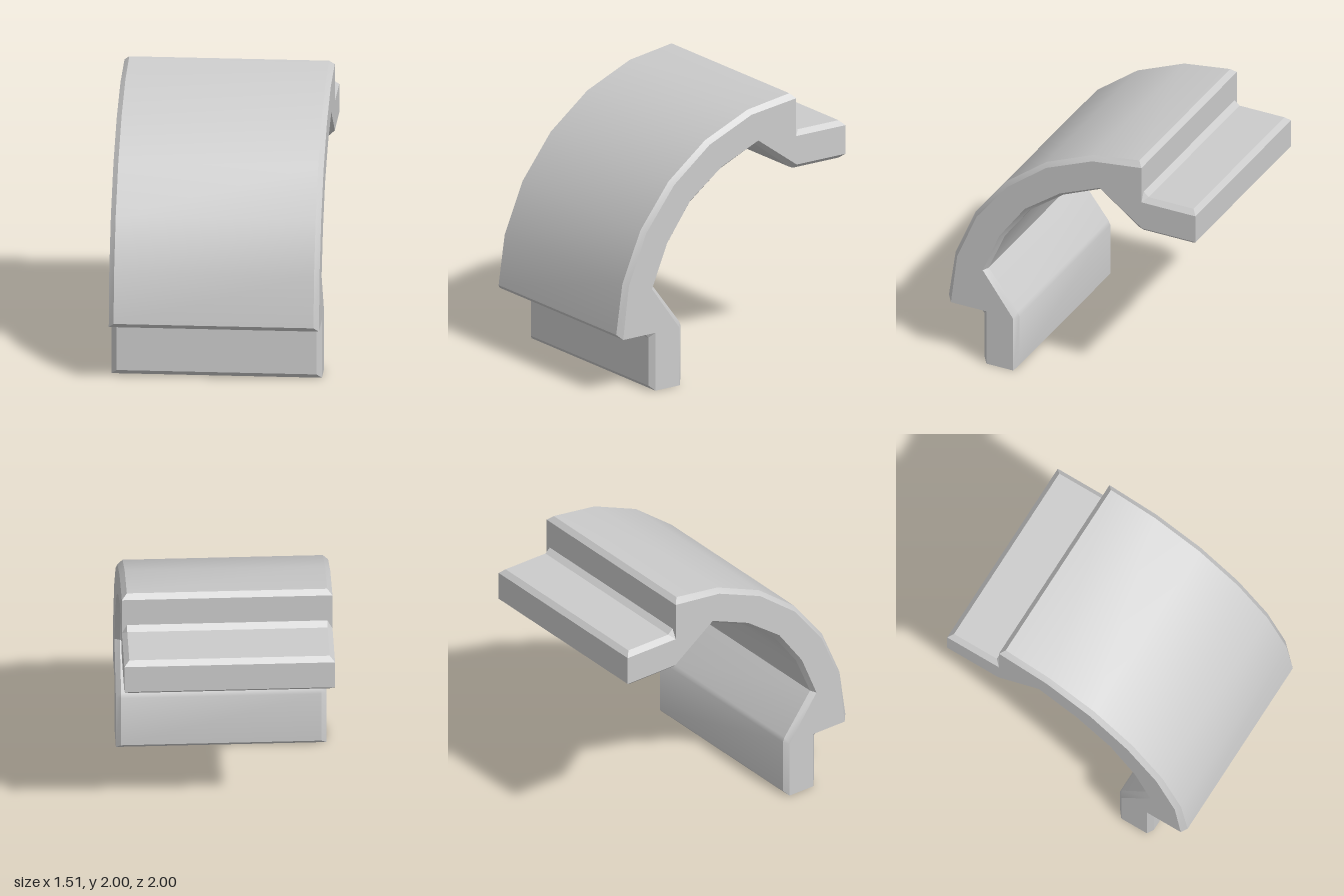
import * as THREE from 'three';
import { toCreasedNormals } from 'three/addons/utils/BufferGeometryUtils.js';

// Half profiles as [z, y] on the end face, then [z, y] just inside the chamfer.
const OUTER = [
  [0.68, 0, 0.68, 0], [0.68, 0, 0.715, 0.035],                    // foot
  [0.68, 0.435, 0.715, 0.395], [0.68, 0.435, 0.75, 0.435],        // step corner
  [0.965, 0.435, 0.965, 0.435], [0.965, 0.435, 1, 0.47],          // rim of the shell
  [0.915, 0.83, 0.946, 0.84], [0.76, 1.2, 0.787, 1.215],          // outer arc
  [0.515, 1.515, 0.538, 1.538],
];
const INNER = [
  [0.465, 0, 0.465, 0], [0.465, 0, 0.433, 0.035],                 // foot
  [0.465, 0.43, 0.433, 0.44], [0.465, 0.43, 0.449, 0.475],        // bend to the slope
  [0.71, 0.77, 0.68, 0.78], [0.577, 1.09, 0.551, 1.08],           // inner arc
  [0.372, 1.372, 0.35, 1.35],
];
const END_X = 0.755, CHAMFER_X = 0.718;

// The upper half repeats the lower one across the diagonal.
const mirror = ([a, b, c, d]) => [b - 1, a + 1, d - 1, c + 1];

function buildShell() {
  const loop = [
    ...OUTER,
    ...OUTER.slice(0, -1).reverse().map(mirror),
    ...INNER.map(mirror),
    ...INNER.slice(0, -1).reverse(),
  ];
  const end = loop.map(p => new THREE.Vector2(p[0], p[1]));
  const body = loop.map(p => new THREE.Vector2(p[2], p[3]));
  const sections = [[-END_X, end], [-CHAMFER_X, body], [CHAMFER_X, body], [END_X, end]]
    .map(([x, pts]) => pts.map(p => new THREE.Vector3(x, p.y, p.x)));

  const positions = [];
  const tri = (a, b, c) => {
    const area = b.clone().sub(a).cross(c.clone().sub(a)).length();
    if (area > 1e-7) for (const v of [a, b, c]) positions.push(v.x, v.y, v.z);
  };

  // Chamfers and long faces between neighbouring sections
  for (let s = 0; s < sections.length - 1; s++) {
    const p = sections[s], q = sections[s + 1];
    for (let i = 0; i < loop.length; i++) {
      const j = (i + 1) % loop.length;
      tri(p[i], q[i], q[j]);
      tri(p[i], q[j], p[j]);
    }
  }

  // Flat end faces
  const outline = end.filter((p, i) => !p.equals(end[(i + 1) % end.length]));
  const at = (x, i) => new THREE.Vector3(x, outline[i].y, outline[i].x);
  for (const [a, b, c] of THREE.ShapeUtils.triangulateShape(outline, [])) {
    tri(at(-END_X, a), at(-END_X, b), at(-END_X, c));
    tri(at(END_X, a), at(END_X, c), at(END_X, b));
  }

  const geometry = new THREE.BufferGeometry();
  geometry.setAttribute('position', new THREE.Float32BufferAttribute(positions, 3));
  return toCreasedNormals(geometry, 0.5);
}

export function createModel() {
  const group = new THREE.Group();
  group.name = 'curvedArmourPlate';
  const shell = new THREE.Mesh(buildShell(), new THREE.MeshStandardMaterial({ color: 0xcccccc }));
  shell.name = 'steppedArcShell';
  group.add(shell);
  return group;
}
